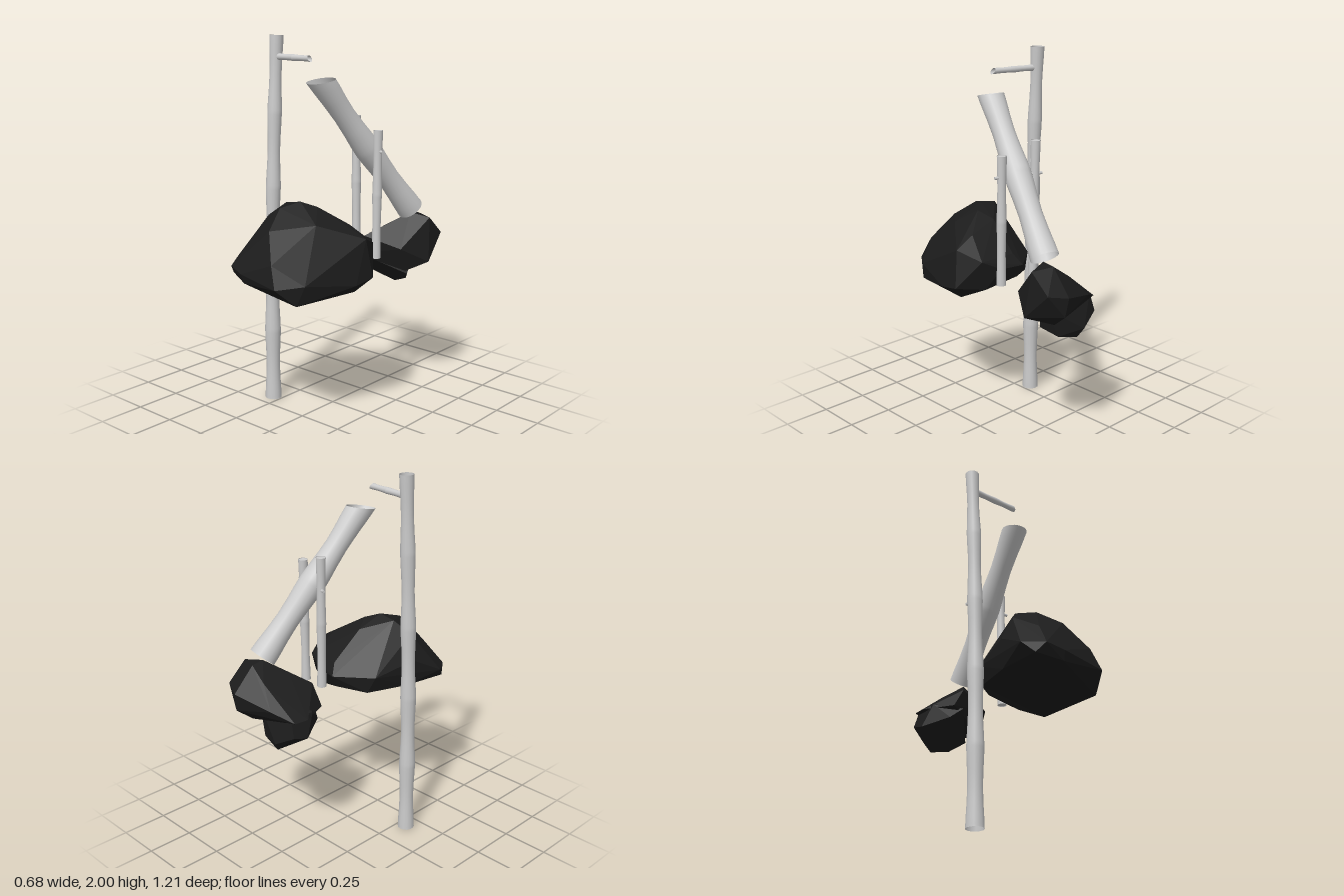
import * as THREE from 'three';
import { mergeVertices } from 'three/addons/utils/BufferGeometryUtils.js';
import { ConvexGeometry } from 'three/addons/geometries/ConvexGeometry.js';

const V = (p) => new THREE.Vector3(...p);
const bambooMat = new THREE.MeshStandardMaterial({ color: 0xcccccc, side: THREE.DoubleSide });
const rockMat = new THREE.MeshStandardMaterial({ color: 0x1c1c1c, flatShading: true });

// Bamboo cane along a curve: r0 to r1 taper, swollen nodes between segments,
// flared open ends, and optionally a slanted cut at the start or end
function bamboo(name, points, r0, r1, segments, { flare = 1.15, cutStart, cutEnd, sides = 14, capped } = {}) {
  const curve = new THREE.CatmullRomCurve3(points.map(V));
  const length = curve.getLength();
  const steps = [[0, 1], [0.03, 0.93], [0.12, 0.8], [0.3, 0.3], [0.5, 0], [0.7, 0.3], [0.88, 0.8], [0.97, 0.93]];
  const profile = [];
  for (let s = 0; s < segments; s++) {
    for (const [u, k] of steps) {
      const t = (s + u) / segments;
      const swell = u === 0 && s > 0 ? 1.2 : 1 + (flare - 1) * k;
      profile.push(new THREE.Vector2((r0 + (r1 - r0) * t) * swell, t));
    }
  }
  profile.push(new THREE.Vector2(r1 * flare, 1));

  let geo = new THREE.LatheGeometry(profile, sides);
  geo.deleteAttribute('uv');
  geo.deleteAttribute('normal');
  const start = curve.getPoint(0), end = curve.getPoint(1);
  const dir = end.clone().sub(start).normalize();
  const turn = new THREE.Quaternion().setFromUnitVectors(new THREE.Vector3(0, 1, 0), dir);
  const pos = geo.attributes.position;
  for (let i = 0; i < pos.count; i++) {
    const t = pos.getY(i);
    const off = new THREE.Vector3(pos.getX(i), 0, pos.getZ(i)).applyQuaternion(turn);
    const p = curve.getPointAt(t).add(off);
    for (const [cut, dist] of [[cutStart, t * length], [cutEnd, (1 - t) * length]]) {
      if (!cut) continue;
      const n = V(cut);
      const fade = Math.max(0, 1 - dist / (5 * r0));
      p.addScaledVector(dir, (-off.dot(n) / dir.dot(n)) * fade);
    }
    pos.setXYZ(i, p.x, p.y, p.z);
  }
  geo = mergeVertices(geo, 1e-5);
  geo.computeVertexNormals();

  const group = new THREE.Group();
  group.name = name;
  const cane = new THREE.Mesh(geo, bambooMat);
  cane.name = name + 'Cane';
  group.add(cane);
  if (capped) {
    for (const [p, r, side] of [[start, r0, 1], [end, r1, -1]]) {
      const cap = new THREE.Mesh(new THREE.CircleGeometry(r * flare * 0.99, sides), bambooMat);
      cap.name = name + 'EndCap';
      cap.position.copy(p).addScaledVector(dir, side * 0.003);
      cap.quaternion.setFromUnitVectors(new THREE.Vector3(0, 0, 1), dir.clone().multiplyScalar(-side));
      group.add(cap);
    }
  }
  return group;
}

// Faceted boulder spanning a set of corner points
function boulder(name, corners) {
  const mesh = new THREE.Mesh(new ConvexGeometry(corners.map(V)), rockMat);
  mesh.name = name;
  return mesh;
}

export function createModel() {
  const model = new THREE.Group();
  model.name = 'bambooFountain';

  // Tall supply pole with a small spout
  model.add(bamboo('supplyPole',
    [[-0.3, 0, 0.165], [-0.298, 0.8, 0.158], [-0.293, 1.5, 0.137], [-0.29, 2, 0.113]],
    0.038, 0.031, 5, { flare: 1.2 }));
  model.add(bamboo('spout', [[-0.27, 1.89, 0.122], [-0.012, 1.89, 0.162]],
    0.016, 0.014, 2, { cutEnd: [1, 0.6, 0] }));

  // Tipping tube: mouth cut level, tail cut square
  model.add(bamboo('tippingTube', [[0.035, 1.78, 0.13], [0.1, 1.465, -0.11], [0.195, 1.06, -0.425]],
    0.057, 0.061, 2, { flare: 1.2, cutStart: [0, 1, 0.17], sides: 18 }));

  // Two posts and the pivot pin
  model.add(bamboo('rightPost', [[0.022, 0.87, -0.17], [0.012, 1.58, -0.177]], 0.022, 0.022, 2, { capped: true }));
  model.add(bamboo('leftPost', [[0.2, 0.84, -0.12], [0.2, 1.52, -0.128]], 0.022, 0.022, 2, { capped: true }));
  const a = V([-0.02, 1.41, -0.19]), b = V([0.24, 1.41, -0.117]);
  const pin = new THREE.Mesh(new THREE.CylinderGeometry(0.008, 0.008, a.distanceTo(b), 10), bambooMat);
  pin.name = 'pivotPin';
  pin.position.lerpVectors(a, b, 0.5);
  pin.quaternion.setFromUnitVectors(new THREE.Vector3(0, 1, 0), b.clone().sub(a).normalize());
  model.add(pin);

  // Large front boulder: underside, waist, crown
  model.add(boulder('frontBoulder', [
    [0.26, 0.72, 0.13], [0.21, 0.72, 0.51], [-0.1, 0.79, 0.56], [-0.24, 0.81, 0.5],
    [-0.2, 0.81, 0.25], [-0.12, 0.81, 0.03], [0.03, 0.83, -0.06], [0.2, 0.78, 0],
    [0.02, 0.9, -0.095], [0.15, 0.9, -0.07], [0.25, 0.95, -0.03], [0.34, 0.8, 0.08],
    [0.33, 0.78, 0.2], [0.31, 1.0, 0.1], [0.24, 0.82, 0.48], [0.15, 0.81, 0.6],
    [0.1, 0.92, 0.57], [-0.11, 0.84, 0.575], [-0.21, 0.86, 0.545], [-0.28, 0.87, 0.44],
    [-0.23, 0.96, 0.27], [-0.16, 0.9, 0.05],
    [-0.1, 1.16, 0.25], [0, 1.175, 0.25], [0.07, 1.15, 0.2], [-0.18, 1.09, 0.3],
    [-0.05, 1.15, 0.35], [0, 1.06, 0.48], [0.15, 1.08, 0.3], [0.2, 1.06, 0.1],
    [0.03, 1.11, 0.12], [0.05, 0.96, -0.05], [-0.15, 1.0, 0.45],
  ]));

  // Small rear boulder: an upper and a lower lump
  const rear = new THREE.Group();
  rear.name = 'rearBoulder';
  rear.add(boulder('rearBoulderUpper', [
    [0.21, 0.9, -0.605], [0.31, 0.92, -0.56], [0.33, 0.78, -0.42], [0.31, 1.02, -0.45],
    [0.24, 0.86, -0.285], [0.24, 0.73, -0.33], [0.02, 0.91, -0.24], [-0.05, 0.8, -0.24],
    [0, 0.85, -0.545], [-0.11, 0.8, -0.48], [0.2, 1.04, -0.42], [0.2, 1.03, -0.49],
    [0.1, 0.97, -0.33], [0.1, 0.96, -0.5], [0.22, 0.8, -0.59], [0.2, 0.73, -0.5], [-0.12, 0.8, -0.4],
  ]));
  rear.add(boulder('rearBoulderLower', [
    [0.02, 0.61, -0.49], [0.1, 0.63, -0.42], [-0.125, 0.7, -0.41], [-0.11, 0.72, -0.49],
    [0, 0.66, -0.52], [0.14, 0.64, -0.47], [0.2, 0.69, -0.4], [-0.05, 0.74, -0.27],
    [0.02, 0.8, -0.24], [-0.1, 0.82, -0.35], [-0.08, 0.82, -0.48], [0.05, 0.71, -0.35],
    [0.2, 0.8, -0.45], [0.05, 0.9, -0.4],
  ]));
  model.add(rear);
  return model;
}
